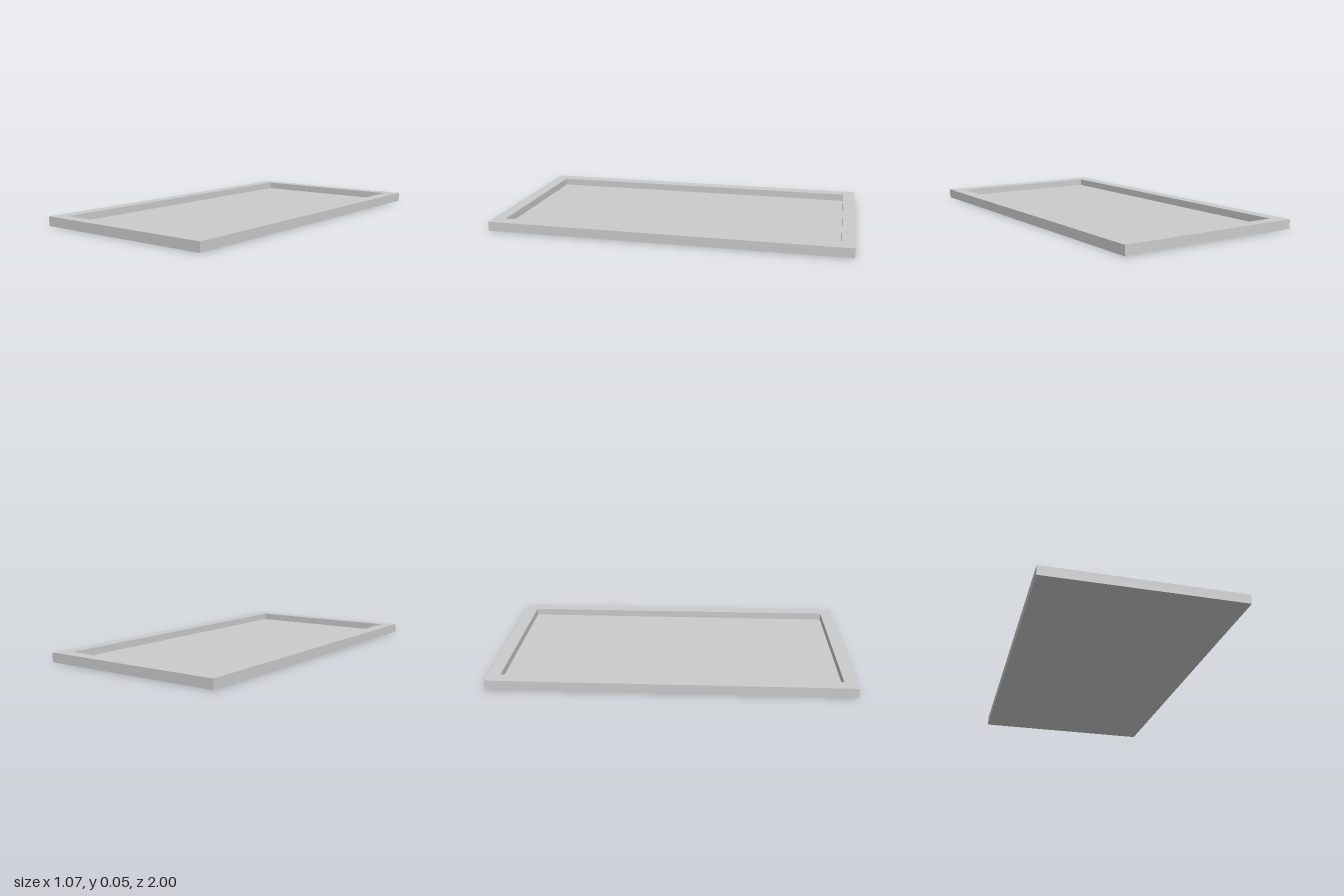
import * as THREE from 'three';

const HALF_W = 0.537, HALF_L = 1, HEIGHT = 0.053;
const INNER_W = 0.463, INNER_L = 0.93, FLOOR = 0.012;

// Rectangle outline centred on the origin
function rectangle(target, w, l) {
  target.moveTo(-w, -l);
  target.lineTo(w, -l);
  target.lineTo(w, l);
  target.lineTo(-w, l);
  target.closePath();
  return target;
}

export function createModel() {
  const group = new THREE.Group();
  group.name = 'tray';
  const material = new THREE.MeshStandardMaterial({ color: 0xcccccc, flatShading: true });

  // Raised rim: a rectangular frame laid flat
  const outline = rectangle(new THREE.Shape(), HALF_W, HALF_L);
  outline.holes.push(rectangle(new THREE.Path(), INNER_W, INNER_L));
  const rimGeometry = new THREE.ExtrudeGeometry(outline, { depth: HEIGHT, bevelEnabled: false });
  rimGeometry.rotateX(-Math.PI / 2);
  const rim = new THREE.Mesh(rimGeometry, material);
  rim.name = 'rim';
  group.add(rim);

  // Thin recessed floor filling the frame, flush with the underside
  const floor = new THREE.Mesh(new THREE.BoxGeometry(INNER_W * 2, FLOOR, INNER_L * 2), material);
  floor.name = 'floorPanel';
  floor.position.y = FLOOR / 2;
  group.add(floor);

  return group;
}
